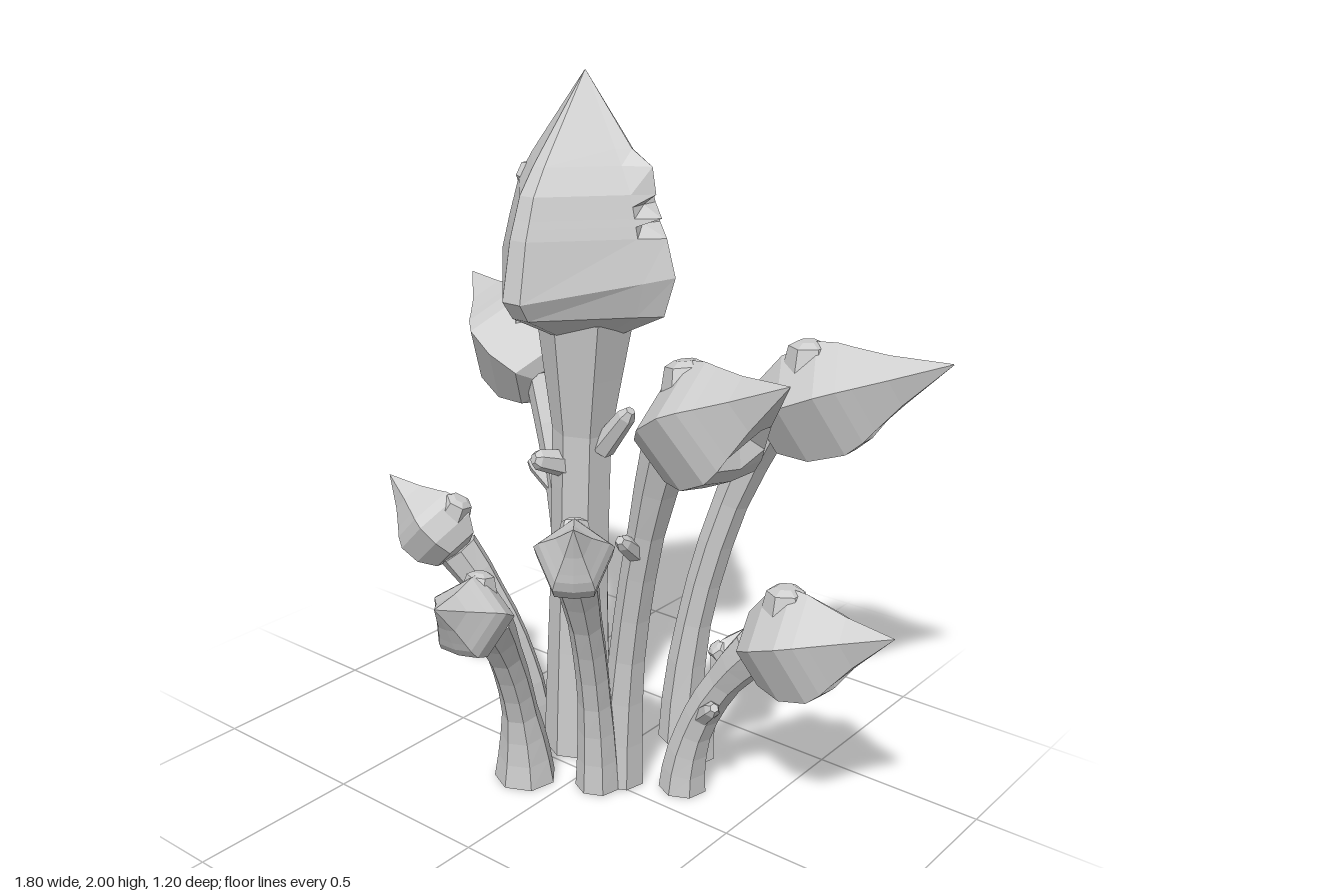
import * as THREE from 'three';

const V = (x, y, z) => new THREE.Vector3(x, y, z);
const UP = V(0, 1, 0);
const FWD = V(0, 0, 1);
const SIDE = V(1, 0, 0);
const mat = new THREE.MeshStandardMaterial({ color: 0xcccccc, flatShading: true });
const around = (n) => Array.from({ length: n }, (_, i) => (i / n) * Math.PI * 2);

// Skin a list of rings (counter-clockwise about the travel direction), capped at both ends
function loft(name, rings) {
  const n = rings[0].length, pos = [];
  const tri = (...ps) => ps.forEach((p) => pos.push(p.x, p.y, p.z));
  for (let i = 0; i < rings.length - 1; i++) {
    for (let j = 0; j < n; j++) {
      const k = (j + 1) % n;
      tri(rings[i][j], rings[i][k], rings[i + 1][k]);
      tri(rings[i][j], rings[i + 1][k], rings[i + 1][j]);
    }
  }
  const middle = (r) => r.reduce((s, p) => s.add(p), V(0, 0, 0)).divideScalar(n);
  const first = rings[0], last = rings[rings.length - 1];
  const c0 = middle(first), c1 = middle(last);
  for (let j = 0; j < n; j++) {
    const k = (j + 1) % n;
    tri(c0, first[k], first[j]);
    tri(c1, last[j], last[k]);
  }
  const geo = new THREE.BufferGeometry();
  geo.setAttribute('position', new THREE.Float32BufferAttribute(pos, 3));
  geo.computeVertexNormals();
  const mesh = new THREE.Mesh(geo, mat);
  mesh.name = name;
  return mesh;
}

// Ring around a centre, facing d, angle zero towards ref
function ring(c, d, ref, angles, radius) {
  const u = ref.clone().addScaledVector(d, -ref.dot(d)).normalize();
  const v = d.clone().cross(u);
  return angles.map((a, j) => {
    const r = radius(a, j);
    return c.clone().addScaledVector(u, Math.cos(a) * r).addScaledVector(v, Math.sin(a) * r);
  });
}

// Stem rises straight from the ground, then leans out; flared at foot and neck
const stemCurve = (base, neck) =>
  new THREE.QuadraticBezierCurve3(base, V(base.x, neck.y / 2, base.z), neck);
function stem(curve, r, foot, neck) {
  const rings = [];
  for (let i = 0; i <= 8; i++) {
    const t = i / 8;
    const k = 1 + (foot - 1) * Math.max(0, 1 - t * 2.5) + (neck - 1) * Math.max(0, t * 4 - 3);
    rings.push(ring(curve.getPoint(t), curve.getTangent(t), FWD, around(7), () => r * k));
  }
  return loft('stem', rings);
}

// Short blunt side shoot
function thorn(name, from, to, r) {
  const d = to.clone().sub(from).normalize();
  const ref = Math.abs(d.z) > 0.8 ? UP : FWD;
  const rings = [[0, 1.15], [0.85, 0.85], [1, 0.45]].map(([t, k]) =>
    ring(from.clone().lerp(to, t), d, ref, around(6), () => r * k));
  return loft(name, rings);
}

// Pointed five-sided bud with a low brow on top; large ones have a notched mouth below
const budAngles = [0, 75, 150, 180, 210, 285].map(THREE.MathUtils.degToRad);
const budProfile = [[0, 0.38], [0.04, 0.68], [0.2, 0.97], [0.4, 1.03], [0.5, 0.9], [0.57, 0.75], [0.72, 0.45], [1, 0.01]];
function bud(base, tip, r) {
  const g = new THREE.Group();
  g.name = 'bud';
  const hasMouth = r > 0.14;
  const d = tip.clone().sub(base).normalize();
  g.add(loft('budBody', budProfile.map(([t, k], i) =>
    ring(base.clone().lerp(tip, t), d, UP, budAngles, (a, j) =>
      r * k * (j === 3 ? (hasMouth && i === 5 ? 0.4 : 0.92) : 1)))));
  const u = UP.clone().addScaledVector(d, -UP.dot(d)).normalize();
  const at = (t, h) => base.clone().lerp(tip, t).addScaledVector(u, r * h);
  g.add(thorn('brow', at(0.3, 0.55), at(0.36, 1.08), r * 0.4));
  return g;
}

// Large square bud: height and corner radius, plus push of the face corner (+x)
const mainProfile = [
  [1.3, 0.11, 0], [1.38, 0.27, 0], [1.49, 0.305, 0], [1.59, 0.275, 0], [1.62, 0.265, -0.07], [1.64, 0.258, 0],
  [1.67, 0.248, -0.05], [1.7, 0.238, 0], [1.77, 0.19, 0.035], [1.81, 0.158, 0], [2, 0.002, 0],
];
function mainBud() {
  const g = new THREE.Group();
  g.name = 'mainBud';
  const e = 0.24, q = Math.PI / 2;
  const angles = [0, e, q - 0.1, q + 0.1, 2 * q, 3 * q - 0.1, 3 * q + 0.1, 4 * q - e];
  const rings = mainProfile.map(([y, r, push]) =>
    ring(V(-0.105, y, -0.125), UP, SIDE, angles, (a, j) => {
      const blunt = Math.abs(Math.sin(a)) > 0.9 ? 1.09 : 1;
      return (r * blunt) / (Math.abs(Math.cos(a)) + Math.abs(Math.sin(a))) + (j === 0 ? push : 0);
    }));
  // The widest edge dips at the front and back corners
  rings[2].forEach((p, j) => { p.y -= 0.06 * Math.abs(Math.sin(angles[j])); });
  g.add(loft('mainBudBody', rings));
  g.add(thorn('brow', V(-0.26, 1.7, -0.125), V(-0.33, 1.71, -0.125), 0.045));
  return g;
}

// Leaning stalk with its bud; each thorn is [height along stem, heading in degrees from +x to +z, reach]
function stalk(name, base, neck, tip, budRadius, thorns = [], foot = 1.35) {
  const g = new THREE.Group();
  g.name = name;
  const curve = stemCurve(base, neck);
  g.add(stem(curve, Math.min(0.052, budRadius * 0.46), foot, 1.3));
  g.add(bud(neck.clone().lerp(tip, -0.03), tip, budRadius));
  for (const [t, heading, reach] of thorns) {
    const a = THREE.MathUtils.degToRad(heading), from = curve.getPoint(t);
    g.add(thorn('thorn', from, V(Math.cos(a) * reach, reach * 0.8, Math.sin(a) * reach).add(from), 0.028));
  }
  return g;
}

export function createModel() {
  const model = new THREE.Group();
  model.name = 'budCluster';

  // Central stalk
  const main = new THREE.Group();
  main.name = 'mainStalk';
  main.add(stem(stemCurve(V(-0.125, 0, -0.12), V(-0.095, 1.35, -0.12)), 0.088, 1.2, 1.6));
  main.add(mainBud());
  main.add(thorn('thorn', V(-0.04, 0.97, -0.12), V(0.06, 1.1, -0.12), 0.032));
  main.add(thorn('thorn', V(-0.13, 0.92, -0.06), V(-0.165, 0.95, 0.03), 0.035));

  // Surrounding stalks: foot, neck, bud tip, bud radius, thorns
  model.add(
    main,
    stalk('backRightStalk', V(-0.2, 0, -0.21), V(-0.46, 1.04, -0.37), V(-0.9, 1.28, -0.51), 0.18, [[0.68, 170, 0.12], [0.7, 270, 0.12]]),
    stalk('smallRightStalk', V(-0.325, 0, -0.12), V(-0.51, 0.57, -0.01), V(-0.72, 0.78, 0.06), 0.12, [[0.47, 175, 0.12]]),
    stalk('frontStalk', V(-0.125, 0, 0.125), V(-0.05, 0.61, 0.35), V(-0.005, 0.74, 0.59), 0.11, [[0.62, 195, 0.19]], 1.8),
    stalk('smallFrontStalk', V(0.07, 0, 0.03), V(0.16, 0.77, 0.24), V(0.27, 0.96, 0.375), 0.105),
    stalk('backLeftStalk', V(0.09, 0, -0.35), V(0.32, 1.06, -0.42), V(0.81, 1.28, -0.52), 0.16, [[0.69, 275, 0.11]]),
    stalk('frontLeftStalk', V(0.1, 0, -0.04), V(0.3, 1.1, 0.03), V(0.725, 1.36, 0.14), 0.16, [[0.67, 85, 0.11]]),
    stalk('lowLeftStalk', V(0.265, 0, -0.12), V(0.5, 0.52, -0.12), V(0.9, 0.67, -0.125), 0.15, [[0.46, 35, 0.12]]),
    stalk('tinyBackStalk', V(0.2, 0, -0.29), V(0.25, 0.26, -0.34), V(0.31, 0.435, -0.43), 0.08),
  );
  return model;
}
